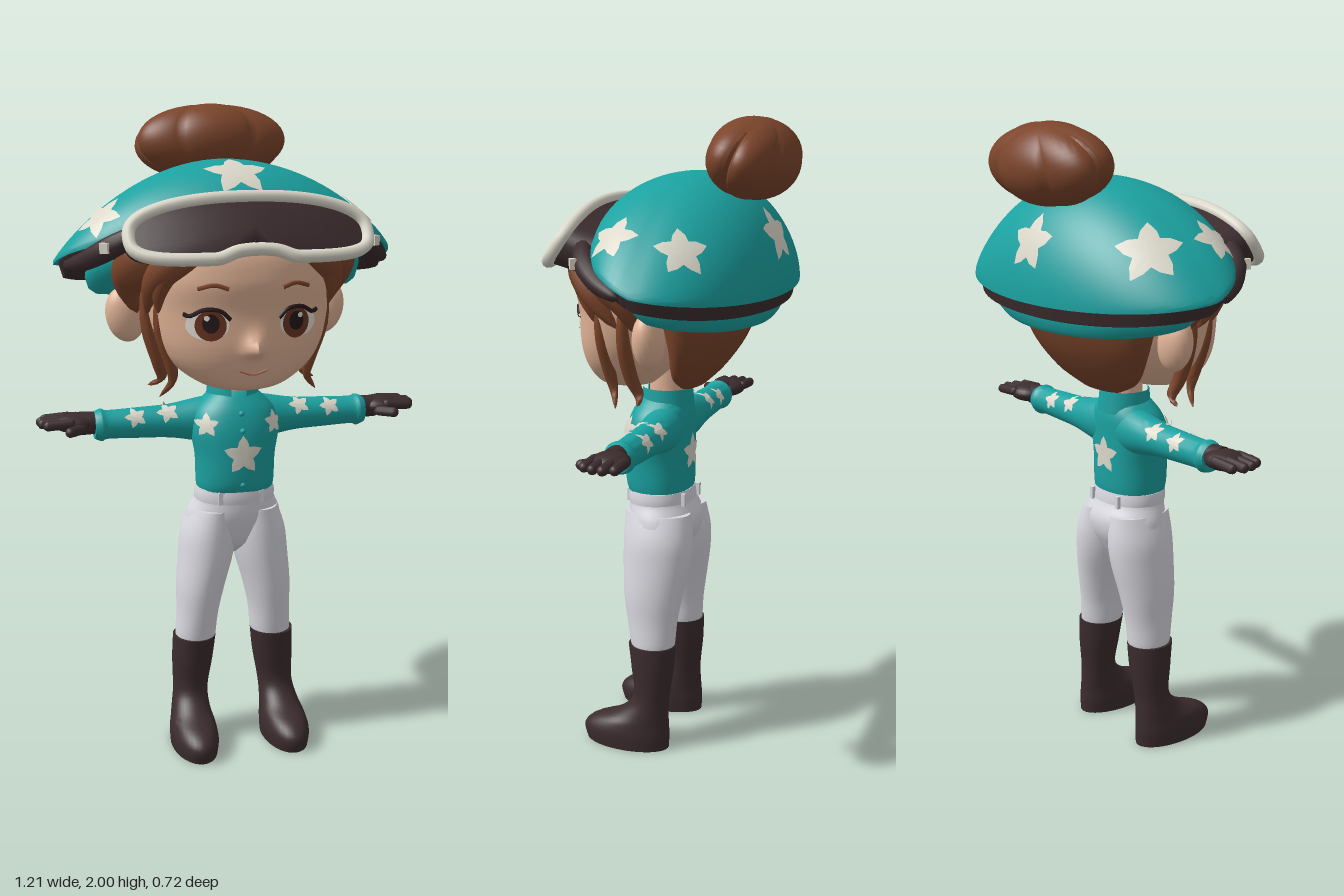
import * as THREE from 'three';
import { mergeVertices, toCreasedNormals } from 'three/addons/utils/BufferGeometryUtils.js';

const V = (x, y, z) => new THREE.Vector3(x, y, z);
const { PI, cos, sin, abs, sign, exp } = Math;
const spow = (a, e) => sign(a) * abs(a) ** e;

const palette = {
  teal: 0x1ba2a1, cream: 0xdcd9cb, dark: 0x3c2c2e, hair: 0x7c452b, skin: 0xe2b497,
  trousers: 0xdadae1, eyeWhite: 0xece4dc, iris: 0x6a3420, pupil: 0x24181a, lip: 0xb5705c,
};
const M = {};
for (const [name, color] of Object.entries(palette)) {
  M[name] = new THREE.MeshStandardMaterial({ color });
  M[name].name = name;
}
M.teal.side = THREE.DoubleSide; // open collar

// Surface from f(angle, v in 0..1); the angle wraps round
function grid(f, nu, nv, crease = 1) {
  const pos = [], idx = [];
  for (let j = 0; j <= nv; j++) for (let i = 0; i < nu; i++) pos.push(...f((i / nu) * 2 * PI, j / nv).toArray());
  for (let j = 0; j < nv; j++) for (let i = 0; i < nu; i++) {
    const k = (i + 1) % nu, a = j * nu + i, c = j * nu + k;
    idx.push(a, a + nu, c, c, a + nu, c + nu);
  }
  const g = new THREE.BufferGeometry();
  g.setAttribute('position', new THREE.Float32BufferAttribute(pos, 3));
  g.setIndex(idx);
  return toCreasedNormals(mergeVertices(g, 1e-5), crease);
}

// Closed body from rings [y, halfWidth, zFront, zBack, centreX]; warp may push points
function rings(list, nu = 32, nv = 24, e = 1, warp = p => p) {
  const col = [0, 1, 2, 3, 4].map(k => new THREE.SplineCurve(list.map((r, i) => new THREE.Vector2(i, r[k] ?? 0))));
  return grid((u, v) => {
    const j = v * (nv + 2) - 1, t = THREE.MathUtils.clamp(j / nv, 0, 1);
    const cap = j < -0.5 || j > nv + 0.5 ? 0 : 1;
    const [y, w, zf, zb, cx] = col.map(c => c.getPoint(t).y);
    return warp(V(cx + cap * w * spow(cos(u), e), y, (zf + zb) / 2 + cap * (zf - zb) / 2 * spow(sin(u), e)));
  }, nu, nv + 2);
}

// Tapered lock of hair or strap along a curve
function lock(points, radius, tip = 0.1) {
  const curve = new THREE.CatmullRomCurve3(points.map(p => V(...p))), n = 16;
  const fr = curve.computeFrenetFrames(n, false);
  return grid((u, v) => {
    const k = Math.round(v * n);
    const r = v === 0 || v === 1 ? 0.001 : radius * (tip + (1 - tip) * sin(PI * v ** 0.7) ** 0.8);
    return curve.getPoint(v).addScaledVector(fr.normals[k], r * cos(u)).addScaledVector(fr.binormals[k], -r * sin(u));
  }, 12, n, 2);
}

// Casts a ray on a part; gives the painted point just above it
const caster = new THREE.Raycaster();
function project(target, p, n, lift, expected = 0.4, slack = 1) {
  caster.set(p.clone().addScaledVector(n, 0.4), n.clone().negate());
  const hit = caster.intersectObject(target)[0];
  const d = hit && abs(hit.distance - expected) < slack ? hit.distance : expected;
  return p.clone().addScaledVector(n, 0.4 - d + lift);
}
// Thin painted patch following a part
function patch(target, at, normal, outline, lift = 0.004) {
  const c = V(...at), n = V(...normal).normalize();
  const a = V(0, abs(n.y) > 0.95 ? 0 : 1, abs(n.y) > 0.95 ? -1 : 0).cross(n).normalize(), b = n.clone().cross(a);
  const mid = project(target, c, n, 0).sub(c).dot(n), N = outline.length;
  return grid((u, v) => {
    const [x, y] = outline[(N - Math.round((u / (2 * PI)) * N)) % N], k = 1 - v;
    return project(target, c.clone().addScaledVector(a, x * k).addScaledVector(b, y * k), n, lift, 0.4 - mid, 0.1);
  }, N, 6, 2);
}
const starOutline = (R, turn = 0) => Array.from({ length: 20 }, (_, i) => {
  const r = R * (i % 4 === 0 ? 1 : i % 4 === 2 ? 0.52 : 0.73), t = PI / 2 + turn + (i / 20) * 2 * PI;
  return [r * cos(t), r * sin(t)];
});
const oval = (rx, ry) => Array.from({ length: 24 }, (_, i) => [rx * cos(i * PI / 12), ry * sin(i * PI / 12)]);

export function createModel() {
  const model = new THREE.Group();
  model.name = 'rider';
  const add = (name, geo, mat, x = 0, y = 0, z = 0) => {
    const m = new THREE.Mesh(geo, mat);
    m.name = name;
    m.position.set(x, y, z);
    model.add(m);
    return m;
  };
  const stroke = (name, target, pts, r, mat) => add(name, new THREE.TubeGeometry(
    new THREE.CatmullRomCurve3(pts.map(([x, y]) => project(target, V(x, y, 0.3), V(0, 0, 1), 0.001))), 14, r, 6), mat);

  // Head with nose, neck and face
  const head = add('head', rings([[1.178, 0.05, 0.225, 0.12], [1.195, 0.125, 0.262, 0.07], [1.25, 0.205, 0.288, 0.01],
    [1.32, 0.25, 0.303, -0.04], [1.42, 0.275, 0.305, -0.08], [1.52, 0.28, 0.318, -0.1], [1.62, 0.25, 0.29, -0.1],
    [1.7, 0.12, 0.18, 0]], 96, 64, 0.94, p => {
    if (p.z > 0.2) p.z += 0.045 * exp(-((p.x / 0.026) ** 2) - ((p.y - 1.315) / (p.y > 1.315 ? 0.04 : 0.022)) ** 2);
    return p;
  }), M.skin);
  add('neck', new THREE.CylinderGeometry(0.055, 0.06, 0.16, 24), M.skin, 0, 1.16, 0.05);
  stroke('mouth', head, [[-0.042, 1.25], [0, 1.238], [0.042, 1.25]], 0.0035, M.lip);
  for (const s of [1, -1]) {
    add('ear', new THREE.SphereGeometry(1, 20, 16).scale(0.06, 0.085, 0.045).rotateZ(-s * 0.2), M.skin, s * 0.32, 1.38, -0.02);
    const eye = (name, x, y, rx, ry, mat, lift) => add(name, patch(head, [s * x, y, 0.3], [0, 0, 1], oval(rx, ry), lift), mat);
    eye('eyeWhite', 0.136, 1.388, 0.06, 0.043, M.eyeWhite, 0.003);
    eye('iris', 0.128, 1.388, 0.044, 0.045, M.iris, 0.005);
    eye('pupil', 0.128, 1.394, 0.024, 0.028, M.pupil, 0.007);
    eye('eyeGlint', 0.14, 1.41, 0.008, 0.008, M.eyeWhite, 0.009);
    stroke('upperLash', head, [[s * 0.072, 1.405], [s * 0.1, 1.43], [s * 0.145, 1.434], [s * 0.185, 1.414], [s * 0.2, 1.42]], 0.007, M.pupil);
    stroke('eyebrow', head, [[s * 0.08, 1.495], [s * 0.12, 1.506], [s * 0.165, 1.495]], 0.007, M.hair);
  }

  // Hair: back mass, swept fringe, loose strands and bun
  add('backHair', rings([[1.19, 0.09, -0.01, -0.07], [1.24, 0.19, 0, -0.12], [1.33, 0.26, 0.0, -0.18],
    [1.43, 0.295, 0.02, -0.215], [1.55, 0.31, 0.05, -0.22], [1.64, 0.28, 0.1, -0.2]], 36, 24), M.hair);
  for (const s of [1, -1]) {
    const strand = (name, pts, r) => add(name, lock(pts.map(([x, y, z]) => [s * x, y, z]), r), M.hair);
    strand('fringe', [[0.05, 1.64, 0.22], [0.18, 1.59, 0.235], [0.26, 1.51, 0.185], [0.275, 1.4, 0.1]], 0.057);
    strand('sideHair', [[0.14, 1.64, 0.19], [0.28, 1.57, 0.12], [0.315, 1.5, 0.05], [0.29, 1.39, 0.02]], 0.075);
    strand('fringeEdge', [[0.13, 1.62, 0.25], [0.215, 1.56, 0.235], [0.255, 1.48, 0.2], [0.25, 1.4, 0.17]], 0.034);
    strand('looseStrand', [[0.255, 1.5, 0.17], [0.25, 1.36, 0.16], [0.215, 1.25, 0.15], [0.21, 1.2, 0.14], [0.245, 1.15, 0.12]], 0.02);
    strand('looseStrand', [[0.285, 1.48, 0.08], [0.27, 1.35, 0.08], [0.235, 1.24, 0.07], [0.225, 1.19, 0.05], [0.265, 1.17, 0.04]], 0.022);
  }
  add('bun', grid((u, v) => {
    const a = (v - 0.5) * PI, k = cos(a) * (0.88 + 0.12 * abs(cos(3 * (u - PI / 2))) ** 0.6);
    return V(0.25 * k * cos(u), 0.118 * sin(a), 0.132 * k * sin(u));
  }, 84, 24).rotateX(-0.35), M.hair, 0, 1.881, -0.228);

  // Helmet: inner lining, lower band, flared rim and dome in one surface
  const rim = (u, kx, kz, dy) => {
    const s = sin(u);
    return V(0.53 * kx * cos(u), 1.545 + (s > 0 ? 0.115 : 0.045) * s + dy, -0.05 + (s > 0 ? 0.26 : 0.28) * kz * s);
  };
  const lower = [[0, 0, 0.1], [0.66, 0.68, -0.02], [0.72, 0.74, -0.085], [0.76, 0.78, -0.1], [0.8, 0.82, -0.085],
    [0.82, 0.84, -0.05], [0.81, 0.83, 0], [0.95, 0.95, 0.005], [1, 1, -0.01]];
  const dome = 24;
  const helmet = add('helmet', grid((u, v) => {
    const j = Math.round(v * (lower.length + dome));
    if (j < lower.length) return rim(u, ...lower[j]);
    const r = cos(((j - lower.length) / dome) * PI / 2), p = rim(u, r, r, 0);
    p.y = rim(u, 1, 1, 0).y;
    p.y += (1.84 - p.y) * Math.max(0, 1 - r * r) ** (0.9 - 0.4 * sin(u) ** 2);
    return p;
  }, 72, lower.length + dome), M.teal);
  for (const [x, y, z, nx, ny, nz, R] of [[0, 1.81, 0.1, 0, 1, 0.25, 0.1], [0.4, 1.68, 0.05, 0.65, 0.7, 0.2, 0.08],
    [-0.4, 1.68, 0.05, -0.65, 0.7, 0.2, 0.08], [0.39, 1.65, -0.15, 0.6, 0.7, -0.4, 0.08],
    [-0.37, 1.67, -0.16, -0.6, 0.7, -0.4, 0.1], [0, 1.66, -0.29, 0, 0.4, -1, 0.09]])
    add('helmetStar', patch(helmet, [x, y, z], [nx, ny, nz], starOutline(R), 0.005), M.cream);

  // Goggle strap round the helmet
  const band = [[0.8, 0.82, -0.03], [0.9, 0.88, -0.055], [0.945, 0.93, -0.05], [0.97, 0.96, -0.005], [0.8, 0.82, -0.002]];
  add('goggleStrap', grid((u, v) => rim(u, ...band[Math.round(v * 4)]), 72, 4), M.dark);

  // Goggles: tilted outline, scaled by k about its middle
  const goggle = (u, k, push = 0) => {
    const x = 0.355 * spow(cos(u), 0.7), s = -sin(u);
    const y = 1.667 + 0.08 * spow(s, 0.7) - 0.03 * (x / 0.36) ** 2 + (s < 0 ? 0.045 * exp(-((x / 0.055) ** 2)) : 0);
    const X = x * k, Y = 1.667 + (y - 1.667) * k;
    return V(X, Y + push * 0.3, 0.285 - (Y - 1.667) * 0.72 - 0.06 * (X / 0.36) ** 2 + push);
  };
  add('goggleBody', grid((u, v) => goggle(u, 0.98 + 0.03 * v, -0.11 * (1 - v)), 64, 3), M.dark);
  add('goggleLens', grid((u, v) => goggle(u, 1 - v, 0.014 * (1 - (1 - v) ** 2)), 64, 8), M.dark);
  const edge = Array.from({ length: 48 }, (_, i) => goggle(((i + 0.5) / 48) * 2 * PI, 1, 0.004));
  add('goggleFrame', new THREE.TubeGeometry(new THREE.CatmullRomCurve3(edge, true), 120, 0.019, 10, true), M.cream);
  for (const s of [1, -1]) {
    add('strapEnd', lock([[s * 0.3, 1.655, 0.19], [s * 0.385, 1.605, 0.145], [s * 0.45, 1.56, 0.075], [s * 0.505, 1.532, -0.01]], 0.034, 0.4), M.dark);
    add('strapClip', new THREE.BoxGeometry(0.025, 0.03, 0.02).rotateY(s * 0.6), M.cream, s * 0.41, 1.605, 0.17);
  }

  // Jacket
  const torso = add('jacket', rings([[0.835, 0.118, 0.165, -0.025], [0.87, 0.122, 0.178, -0.03], [0.95, 0.125, 0.18, -0.03],
    [1.03, 0.138, 0.175, -0.03], [1.09, 0.125, 0.158, -0.03], [1.13, 0.09, 0.135, -0.02], [1.15, 0.065, 0.12, -0.01]], 40, 28, 0.9), M.teal);
  add('collar', new THREE.CylinderGeometry(0.078, 0.085, 0.07, 28, 1, true, 0.3, 2 * PI - 0.6), M.teal, 0, 1.14, 0.05);
  for (const y of [0.87, 1.04, 1.09])
    add('button', new THREE.SphereGeometry(0.009, 10, 8), M.teal, 0, y, y > 1.06 ? 0.157 : 0.175);
  add('chestStar', patch(torso, [0, 0.965, 0.15], [0, 0, 1], starOutline(0.062)), M.cream);
  add('backStar', patch(torso, [0, 0.97, 0], [0, 0, -1], starOutline(0.06)), M.cream);

  for (const s of [1, -1]) {
    // Sleeve with cuff and stars
    const sleeve = add('sleeve', rings([[0.03, 0.082, 0.1, -0.025], [0.11, 0.068, 0.095, -0.027], [0.2, 0.052, 0.085, -0.02],
      [0.3, 0.047, 0.08, -0.015], [0.39, 0.044, 0.078, -0.013], [0.41, 0.05, 0.083, -0.018], [0.432, 0.042, 0.075, -0.01]], 24, 30)
      .rotateZ(-s * PI / 2).translate(0, 1.052, 0), M.teal);
    for (const [x, y, R] of [[0.21, 1.07, 0.036], [0.31, 1.06, 0.035]]) for (const f of [1, -1])
      add('sleeveStar', patch(sleeve, [s * x, y, 0.03], [0, 0.45, f], starOutline(R, 0.3)), M.cream);
    for (const f of [1, -1])
      add('shoulderStar', patch(torso, [s * 0.095, 1.05, 0.07], [s * 0.15, 0.1, f], starOutline(0.038), 0.007), M.cream);

    // Glove
    add('gloveWrist', new THREE.CylinderGeometry(0.036, 0.034, 0.06, 18).rotateZ(PI / 2), M.dark, s * 0.445, 1.06, 0.032);
    add('palm', new THREE.SphereGeometry(1, 20, 14).scale(0.064, 0.03, 0.058), M.dark, s * 0.492, 1.063, 0.025);
    for (let i = 0; i < 4; i++)
      add('finger', new THREE.CapsuleGeometry(0.0155, 0.07, 4, 10).rotateZ(PI / 2 - s * 0.06), M.dark,
        s * [0.54, 0.555, 0.553, 0.54][i], 1.068, -0.025 + i * 0.031);
    add('thumb', new THREE.CapsuleGeometry(0.016, 0.05, 4, 10).rotateZ(PI / 2).rotateY(-s * 0.7), M.dark, s * 0.495, 1.052, 0.09);

    // Trouser leg and boot
    add('trouserLeg', rings([[0.335, 0.055, 0.12, -0.01, s * 0.125], [0.35, 0.064, 0.125, -0.018, s * 0.124], [0.43, 0.066, 0.14, -0.025, s * 0.118],
      [0.52, 0.076, 0.155, -0.04, s * 0.108], [0.62, 0.086, 0.163, -0.058, s * 0.09], [0.7, 0.086, 0.165, -0.062, s * 0.08],
      [0.78, 0.068, 0.162, -0.05, s * 0.07]], 28, 28), M.trousers);
    add('boot', rings([[0, 0.07, 0.275, -0.008, s * 0.15], [0.045, 0.073, 0.285, -0.01, s * 0.15], [0.08, 0.068, 0.25, -0.008, s * 0.149],
      [0.115, 0.06, 0.165, -0.006, s * 0.147], [0.17, 0.056, 0.112, -0.006, s * 0.142], [0.27, 0.065, 0.12, -0.018, s * 0.134],
      [0.35, 0.068, 0.132, -0.022, s * 0.128]], 32, 28), M.dark);
    for (const f of [0.155, -0.028])
      add('beltLoop', new THREE.BoxGeometry(0.014, 0.04, 0.012), M.trousers, s * 0.065, 0.825, f);
  }

  // Trouser seat and waistband
  add('trouserSeat', rings([[0.62, 0.03, 0.07, 0], [0.66, 0.1, 0.125, -0.025], [0.71, 0.15, 0.15, -0.05],
    [0.76, 0.148, 0.165, -0.055], [0.81, 0.126, 0.168, -0.035], [0.845, 0.122, 0.168, -0.027]], 36, 24, 0.95), M.trousers);
  add('waistband', rings([[0.805, 0.126, 0.17, -0.035], [0.825, 0.127, 0.172, -0.034], [0.848, 0.123, 0.17, -0.03]], 36, 4, 0.95), M.trousers);
  return model;
}
